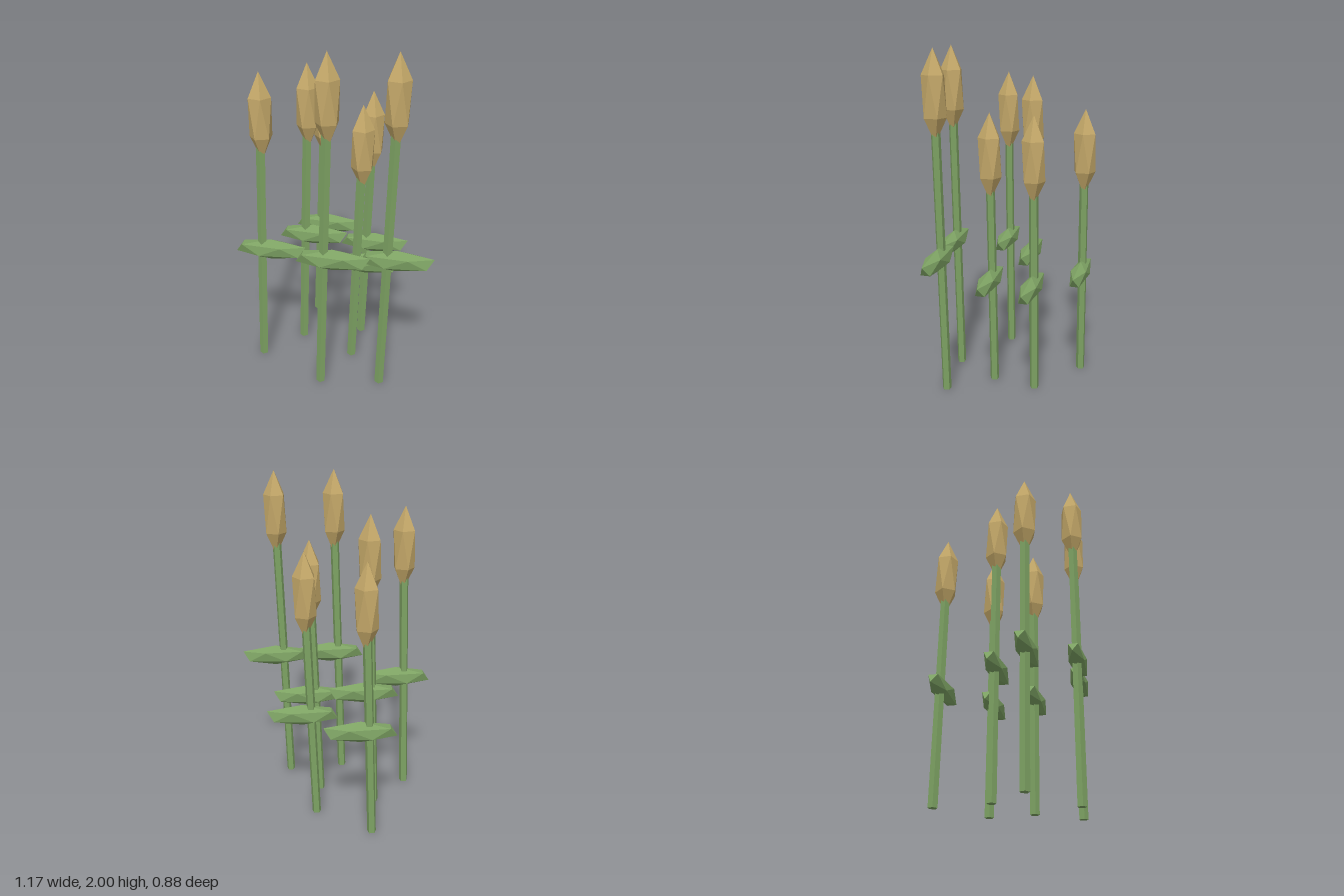
import * as THREE from 'three';

const green = new THREE.MeshStandardMaterial({ name: 'reedGreen', color: 0x7da263, flatShading: true });
const tan = new THREE.MeshStandardMaterial({ name: 'seedTan', color: 0xc4a869, flatShading: true });

// Icosahedron standing on a point, with an upper-ring corner towards +x
function pointedBall(rx, ry, rz) {
  const g = new THREE.IcosahedronGeometry(1, 0);
  g.rotateX(-Math.atan((1 + Math.sqrt(5)) / 2));
  g.rotateY(Math.PI / 2);
  return g.scale(rx, ry, rz);
}

const headGeometry = pointedBall(0.073, 0.25, 0.073);
const leafGeometry = pointedBall(0.232, 0.065, 0.053);
const LEAN = 0.052; // sideways shift from foot to head

function part(name, geometry, material, x, y) {
  const mesh = new THREE.Mesh(geometry, material);
  mesh.name = name;
  mesh.position.set(x, y, 0);
  return mesh;
}

function makeReed(x, z, headY, leafY) {
  const reed = new THREE.Group();
  reed.name = 'reed';
  reed.position.set(x, 0, z);

  // Leaning five-sided stem, ending inside the head
  const stemGeometry = new THREE.CylinderGeometry(0.027, 0.027, headY, 5);
  const stem = part('stem', stemGeometry, green, -LEAN / 2, headY / 2);
  stem.rotation.z = -Math.atan(LEAN / headY);

  const leaf = part('leaf', leafGeometry, green, 0.023, leafY);
  leaf.rotation.z = -0.015;

  reed.add(stem, leaf, part('seedHead', headGeometry, tan, 0, headY));
  return reed;
}

export function createModel() {
  const model = new THREE.Group();
  model.name = 'reedClump';
  // x, z, height step (0 tall, 1 medium, 2 short)
  const reeds = [
    [0.005, 0.375, 0], [0.353, 0.332, 0],
    [-0.398, 0.165, 1], [-0.182, -0.054, 1],
    [0.153, 0.097, 2], [0.18, -0.165, 2], [-0.145, -0.377, 2],
  ];
  for (const [x, z, step] of reeds) {
    model.add(makeReed(x, z, 1.75 - 0.175 * step, 0.845 - 0.0855 * step));
  }
  return model;
}
